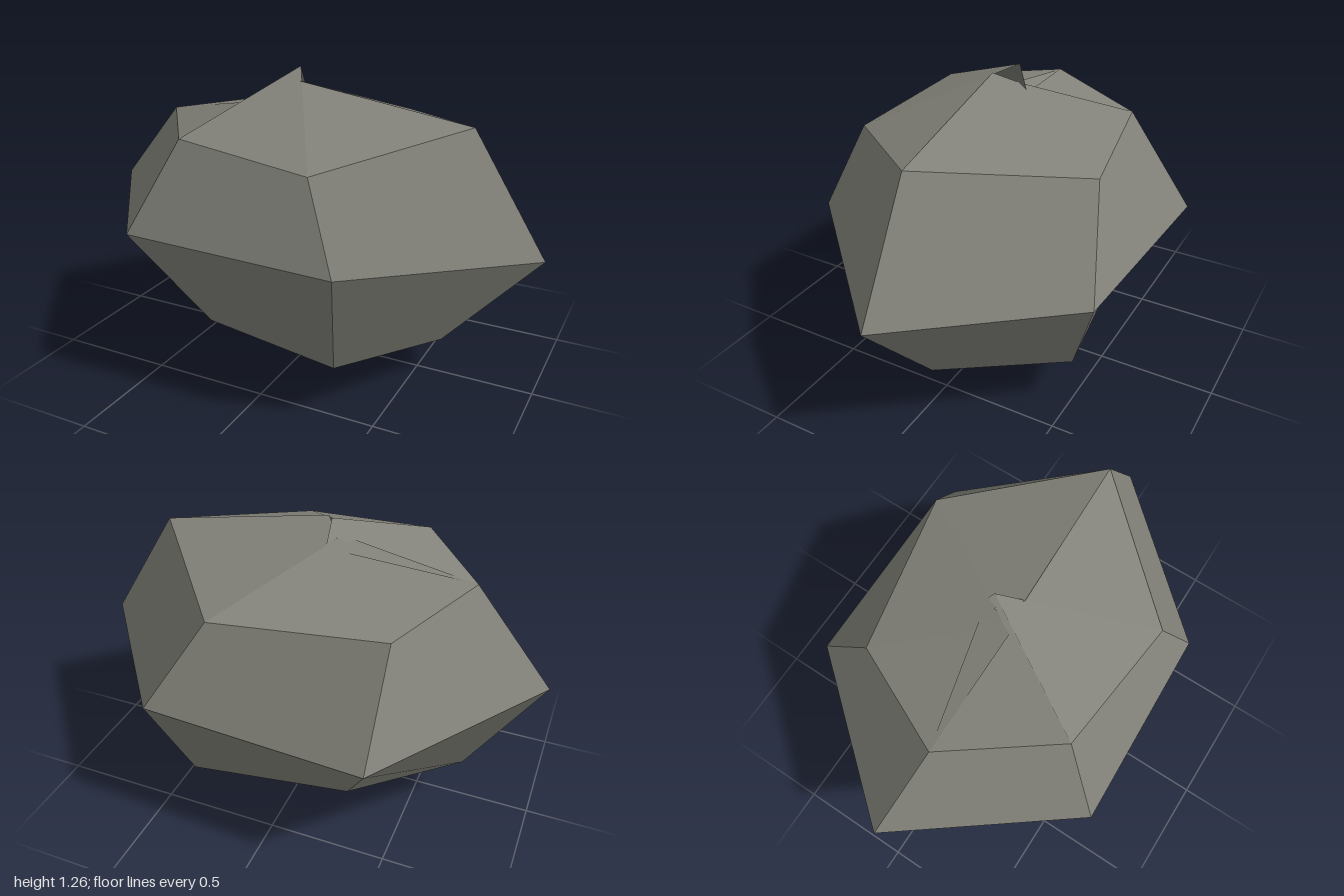
import * as THREE from 'three';

// Cross-sections from top to bottom; each goes round from -x through +z, +x and -z.
// The end rings are tiny and ragged, so the tips look splintered.
const sections = [
  [[-0.07, 1.145, -0.07], [-0.08, 1.26, -0.03], [-0.03, 1.215, 0.065], [-0.03, 1.22, 0.07], [-0.1, 1.17, -0.02], [-0.1, 1.135, 0.075]],
  [[-0.66, 1.04, 0.06], [-0.35, 1.04, 0.48], [0.24, 0.99, 0.54], [0.69, 1.1, 0.02], [0.23, 1.0, -0.53], [-0.45, 0.99, -0.39]],
  [[-1, 0.675, -0.01], [-0.48, 0.69, 0.68], [0.39, 0.66, 0.65], [1, 0.6, 0.01], [0.48, 0.6, -0.64], [-0.46, 0.59, -0.68]],
  [[-0.7, 0.21, -0.03], [-0.31, 0.21, 0.38], [0.35, 0.24, 0.54], [0.6, 0.155, 0], [0.35, 0.225, -0.51], [-0.31, 0.24, -0.42]],
  [[-0.1, 0.09, -0.03], [-0.08, 0.04, 0.08], [0.05, 0.045, 0.07], [0.01, 0.09, -0.09], [0, 0.1, -0.07], [-0.12, 0, 0.01]],
].map((ring) => ring.map((p) => new THREE.Vector3(...p)));

export function createModel() {
  const stone = new THREE.MeshStandardMaterial({ color: 0x82827a, side: THREE.DoubleSide });
  stone.name = 'stone';

  // Join neighbouring sections with four-sided facets, each shaded as one plane
  const positions = [];
  const normals = [];
  const sides = 6;
  for (let row = 0; row < sections.length - 1; row++) {
    for (let i = 0; i < sides; i++) {
      const next = (i + 1) % sides;
      const a = sections[row][next];
      const b = sections[row][i];
      const c = sections[row + 1][i];
      const d = sections[row + 1][next];
      const normal = d.clone().sub(b).cross(a.clone().sub(c)).normalize();
      for (const p of [a, b, d, b, c, d]) {
        positions.push(p.x, p.y, p.z);
        normals.push(normal.x, normal.y, normal.z);
      }
    }
  }
  const geometry = new THREE.BufferGeometry();
  geometry.setAttribute('position', new THREE.Float32BufferAttribute(positions, 3));
  geometry.setAttribute('normal', new THREE.Float32BufferAttribute(normals, 3));

  const rock = new THREE.Mesh(geometry, stone);
  rock.name = 'rock';

  const group = new THREE.Group();
  group.name = 'boulder';
  group.add(rock);
  return group;
}
